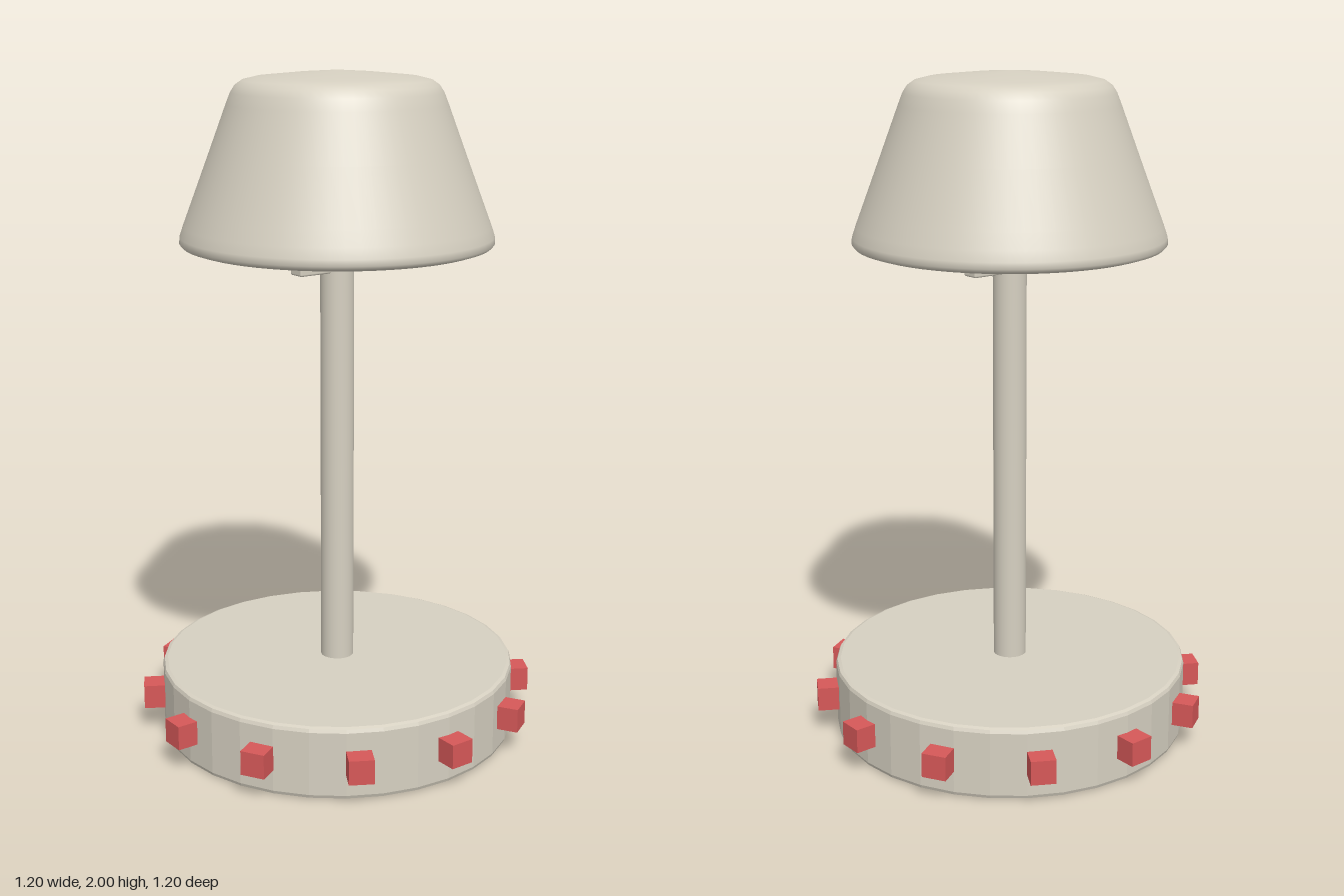
import * as THREE from 'three';
import { toCreasedNormals } from 'three/addons/utils/BufferGeometryUtils.js';
import { RoundedBoxGeometry } from 'three/addons/geometries/RoundedBoxGeometry.js';

const lathe = (profile, sides) =>
  new THREE.LatheGeometry(profile.map(([r, y]) => new THREE.Vector2(r, y)), sides);

export function createModel() {
  const model = new THREE.Group();
  model.name = 'tableLamp';
  const beige = new THREE.MeshStandardMaterial({ color: 0xd6d0c1 });
  beige.name = 'warmBeige';
  const red = new THREE.MeshStandardMaterial({ color: 0xd65858 });
  red.name = 'red';

  const add = (name, geometry, material) => {
    const mesh = new THREE.Mesh(geometry, material);
    mesh.name = name;
    model.add(mesh);
    return mesh;
  };

  // Faceted round base with a small bevel on both rims
  const base = lathe([
    [0, 0], [0.526, 0], [0.536, 0.004], [0.54, 0.014],
    [0.54, 0.206], [0.536, 0.216], [0.526, 0.22], [0, 0.22],
  ], 32);
  add('base', toCreasedNormals(base, 0.15), beige);

  // Ring of twelve cubes around the base
  const cube = new THREE.BoxGeometry(0.073, 0.073, 0.073);
  for (let i = 0; i < 12; i++) {
    const angle = (i * Math.PI) / 6;
    const stud = add('baseCube', cube, red);
    stud.position.set(Math.sin(angle) * 0.5635, 0.115, Math.cos(angle) * 0.5635);
    stud.rotation.y = angle;
  }

  // Pole
  const pole = add('pole', new THREE.CylinderGeometry(0.05, 0.05, 1.29, 32), beige);
  pole.position.y = 0.855;

  // Crossbar just under the shade
  const bar = add('crossbar', new RoundedBoxGeometry(0.298, 0.044, 0.054, 2, 0.006), beige);
  bar.position.y = 1.444;

  // Closed, tapered shade with rounded rims and shallow domed ends
  add('shade', lathe([
    [0, 1.465], [0.2, 1.474], [0.38, 1.488], [0.425, 1.494], [0.45, 1.502],
    [0.459, 1.512], [0.457, 1.53], [0.447, 1.56], [0.43, 1.605],
    [0.37, 1.765], [0.318, 1.905], [0.305, 1.938], [0.292, 1.958],
    [0.272, 1.972], [0.235, 1.981], [0.12, 1.992], [0, 2],
  ], 64), beige);

  return model;
}
